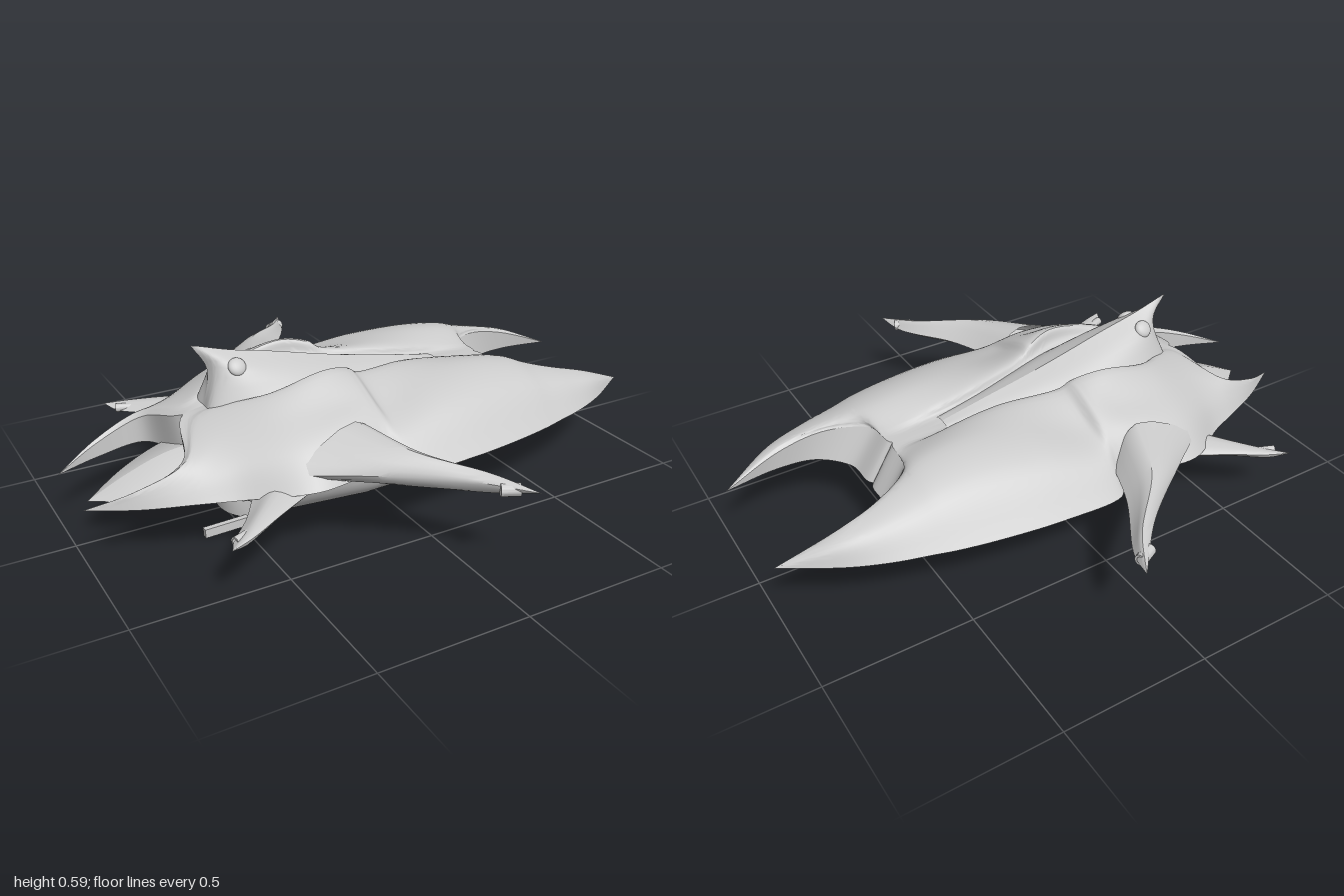
import * as THREE from 'three';
import { toCreasedNormals } from 'three/addons/utils/BufferGeometryUtils.js';

const material = new THREE.MeshStandardMaterial({ color: 0xcccccc, side: THREE.DoubleSide });
const V = (p) => new THREE.Vector3(...p);

// Grid surface from a rule fn(u, v) -> Vector3
function surface(name, nu, nv, fn, crease = 0.6) {
  const pos = [], index = [];
  for (let i = 0; i <= nu; i++) {
    for (let j = 0; j <= nv; j++) pos.push(...fn(i / nu, j / nv).toArray());
  }
  for (let i = 0; i < nu; i++) {
    for (let j = 0; j < nv; j++) {
      const a = i * (nv + 1) + j, b = a + nv + 1;
      index.push(a, b, a + 1, b, b + 1, a + 1);
    }
  }
  const g = new THREE.BufferGeometry();
  g.setAttribute('position', new THREE.Float32BufferAttribute(pos, 3));
  g.setIndex(index);
  const mesh = new THREE.Mesh(toCreasedNormals(g, crease), material);
  mesh.name = name;
  return mesh;
}

// Skin stretched over lengthwise guide curves; side = 1 or -1 mirrors in z
function loft(name, guides, side, { nu = 56, steps = 1, smooth = false, crease = 0.6 } = {}) {
  const curves = guides.map((g) => new THREE.CatmullRomCurve3(g.map(V)));
  const nv = (guides.length - 1) * steps;
  return surface(name, nu, nv, (u, v) => {
    const pts = curves.map((c) => c.getPoint(u));
    pts.forEach((p) => { p.z = Math.max(p.z, 0); });
    let p;
    if (smooth) p = new THREE.CatmullRomCurve3(pts).getPoint(v);
    else {
      const f = v * (pts.length - 1), k = Math.min(Math.floor(f + 1e-6), pts.length - 2);
      p = pts[k].clone().lerp(pts[k + 1], f - k);
    }
    p.z = Math.max(p.z, 0) * side;
    return p;
  }, crease);
}

const TAIL = [-1, 0.2, 0.13], PRONG = [1, 0.24, 0.21];

// Upper hull guides, from the centre line outward
const centre = [TAIL, [-0.85, 0.25, 0.19], [-0.7, 0.31, 0.185], [-0.62, 0.375, 0], [-0.38, 0.41, 0], [-0.2, 0.42, 0],
  [-0.1, 0.41, 0], [-0.06, 0.4, 0], [0.15, 0.39, 0], [0.35, 0.38, 0], [0.5, 0.372, 0], [0.52, 0.365, 0.12],
  [0.65, 0.345, 0.21], [0.8, 0.31, 0.23], PRONG];
const foot = [TAIL, [-0.85, 0.255, 0.195], [-0.7, 0.315, 0.2], [-0.6, 0.38, 0.03], [-0.38, 0.43, 0.125], [-0.2, 0.445, 0.135],
  [-0.1, 0.435, 0.11], [-0.06, 0.425, 0.1], [0.15, 0.405, 0.055], [0.35, 0.383, 0.045], [0.5, 0.373, 0.05], [0.53, 0.368, 0.14],
  [0.65, 0.35, 0.215], [0.8, 0.315, 0.235], PRONG];
const crest = [TAIL, [-0.85, 0.26, 0.2], [-0.7, 0.32, 0.21], [-0.59, 0.387, 0.06], [-0.38, 0.455, 0.15], [-0.2, 0.495, 0.155],
  [-0.1, 0.475, 0.13], [-0.06, 0.45, 0.12], [0.15, 0.43, 0.07], [0.35, 0.4, 0.06], [0.5, 0.38, 0.08], [0.54, 0.375, 0.155],
  [0.66, 0.355, 0.22], [0.8, 0.32, 0.24], PRONG];
const arc = [TAIL, [-0.85, 0.255, 0.205], [-0.7, 0.305, 0.23], [-0.58, 0.36, 0.19], [-0.38, 0.41, 0.26], [-0.2, 0.43, 0.265],
  [-0.1, 0.43, 0.265], [-0.06, 0.395, 0.27], [0.15, 0.425, 0.21], [0.35, 0.43, 0.18], [0.5, 0.41, 0.185], [0.57, 0.385, 0.21],
  [0.69, 0.35, 0.25], [0.82, 0.31, 0.27], PRONG];
const shoulder = [TAIL, [-0.85, 0.24, 0.21], [-0.7, 0.265, 0.26], [-0.58, 0.305, 0.28], [-0.38, 0.35, 0.37], [-0.2, 0.38, 0.36],
  [-0.1, 0.37, 0.36], [-0.06, 0.345, 0.39], [0.15, 0.375, 0.36], [0.35, 0.385, 0.33], [0.5, 0.37, 0.32], [0.57, 0.35, 0.32],
  [0.69, 0.325, 0.315], [0.82, 0.295, 0.295], PRONG];
const outer = [TAIL, [-0.85, 0.205, 0.22], [-0.7, 0.215, 0.29], [-0.58, 0.22, 0.34], [-0.38, 0.25, 0.46], [-0.2, 0.25, 0.44],
  [-0.1, 0.25, 0.45], [-0.06, 0.24, 0.485], [0.15, 0.24, 0.485], [0.35, 0.24, 0.46], [0.5, 0.24, 0.43], [0.57, 0.24, 0.41],
  [0.69, 0.24, 0.375], [0.82, 0.24, 0.32], PRONG];
const keel = [TAIL, [-0.85, 0.2, 0.19], [-0.7, 0.22, 0.185], [-0.6, 0.24, 0], [-0.38, 0.24, 0], [-0.2, 0.24, 0],
  [-0.1, 0.24, 0], [-0.06, 0.24, 0], [0.15, 0.24, 0], [0.35, 0.24, 0], [0.58, 0.24, 0], [0.6, 0.24, 0.12],
  [0.69, 0.24, 0.215], [0.82, 0.24, 0.235], PRONG];

// Broad spine canopy that sweeps up into the rear fin
const spine = [[-0.58, 0.6, 0], [-0.56, 0.595, 0], [-0.45, 0.562, 0], [-0.3, 0.528, 0], [-0.15, 0.49, 0], [0, 0.455, 0],
  [0.15, 0.425, 0], [0.32, 0.39, 0]];
const flank = [[-0.53, 0.51, 0], [-0.51, 0.525, 0.03], [-0.44, 0.51, 0.068], [-0.3, 0.485, 0.085], [-0.15, 0.46, 0.078],
  [0, 0.435, 0.06], [0.15, 0.412, 0.04], [0.32, 0.385, 0.03]];
const sill = [[-0.55, 0.38, 0], [-0.55, 0.39, 0.06], [-0.45, 0.415, 0.115], [-0.3, 0.425, 0.14], [-0.15, 0.425, 0.13],
  [0, 0.41, 0.1], [0.15, 0.395, 0.07], [0.32, 0.37, 0.05]];

// Wing guides: front edge, top, rear edge, underside, front edge again
const WTIP = [0.13, 0.3, 0.86];
const wingFront = [[-0.09, 0.3, 0.38], [-0.02, 0.295, 0.56], [0.1, 0.285, 0.76], WTIP];
const wing = [wingFront,
  [[-0.2, 0.4, 0.36], [-0.12, 0.365, 0.55], [0.05, 0.325, 0.73], WTIP],
  [[-0.42, 0.29, 0.4], [-0.24, 0.3, 0.53], [-0.03, 0.305, 0.69], WTIP],
  [[-0.24, 0.24, 0.38], [-0.12, 0.25, 0.55], [0.04, 0.265, 0.73], WTIP], wingFront];
const FTIP = [-0.71, 0.21, 0.57];
const finFront = [[-0.54, 0.21, 0.33], [-0.6, 0.205, 0.42], [-0.68, 0.2, 0.51], FTIP];
const rearFin = [finFront,
  [[-0.44, 0.26, 0.34], [-0.55, 0.24, 0.44], [-0.65, 0.22, 0.53], FTIP],
  [[-0.36, 0.23, 0.4], [-0.52, 0.225, 0.485], [-0.63, 0.215, 0.54], FTIP],
  [[-0.44, 0.19, 0.34], [-0.55, 0.19, 0.44], [-0.65, 0.19, 0.53], FTIP], finFront];

// Leaf-shaped tail
const LEAF = [-0.95, 0.155, 0];
const leaf = [
  [LEAF, [-0.82, 0.215, 0], [-0.68, 0.26, 0], [-0.5, 0.27, 0]],
  [LEAF, [-0.82, 0.2, 0.065], [-0.68, 0.235, 0.11], [-0.5, 0.25, 0.15]],
  [LEAF, [-0.82, 0.17, 0.105], [-0.67, 0.19, 0.16], [-0.5, 0.2, 0.22]],
  [LEAF, [-0.82, 0.165, 0], [-0.67, 0.175, 0], [-0.5, 0.17, 0]]];

// Belly fairing between hull edge and scoop
const belly = [
  [[-0.57, 0.21, 0.33], [-0.45, 0.235, 0.4], [-0.15, 0.24, 0.41], [0.2, 0.24, 0.4]],
  [[-0.57, 0.19, 0.2], [-0.45, 0.14, 0.26], [-0.15, 0.18, 0.32], [0.2, 0.238, 0.35]]];

// Lower scoop: u runs rear to front, t round the half pipe, k scales the section.
// Its lip sweeps forward along the prongs, narrowing with them.
function scoopPoint(u, t, k) {
  const a = Math.PI * (1 - Math.cos(Math.PI * t)) / 2, s = Math.sin(a) ** 0.65;
  const y = 0.24 - s * (0.225 - 0.035 * u);
  const rear = Math.max(-0.57, -0.45 - 12 * (y - 0.09) ** 2);
  const rise = Math.max(0, (y - 0.05) / 0.15);
  const front = rise < 1 ? 0.17 + 0.23 * rise ** 1.3 : 0.4 + (y - 0.2) * 12;
  const x = rear + (front - rear) * u;
  const width = x > 0.7 ? 0.35 - 0.47 * (x - 0.7) : 0.35 * (0.78 + 0.22 * Math.min(1, u * 2));
  return new THREE.Vector3(x, 0.24 - (0.24 - y) * k, width * Math.cos(a) * k);
}

// Intake bowl: ceiling that curves down into a wall behind the lip
function bowlPoint(u, t) {
  const a = Math.PI * t, f = u * Math.PI / 2;
  const depth = 0.185 * Math.sin(a) ** 0.65;
  return new THREE.Vector3(0.5 - 0.42 * Math.sin(f), 0.238 - depth * (1 - Math.cos(f)), 0.305 * Math.cos(a));
}

function barrel(name, x, y, z, dir, r, length) {
  const profile = [[0, 0], [r, 0], [r, length], [r * 0.65, length], [r * 0.6, length * 0.6], [0, length * 0.6]];
  const g = new THREE.LatheGeometry(profile.map((p) => new THREE.Vector2(...p)), 20);
  const mesh = new THREE.Mesh(toCreasedNormals(g, 0.6), material);
  mesh.name = name;
  mesh.position.set(x, y, z);
  mesh.quaternion.setFromUnitVectors(new THREE.Vector3(0, 1, 0), V(dir).normalize());
  return mesh;
}

export function createModel() {
  const model = new THREE.Group();
  model.name = 'spacecraft';

  for (const side of [1, -1]) {
    const half = new THREE.Group();
    half.name = side > 0 ? 'leftHalf' : 'rightHalf';
    half.add(
      loft('upperHull', [centre, foot, crest, arc, shoulder, outer], side, { nu: 112, steps: 6, smooth: true }),
      loft('hullUnderside', [outer, keel, centre], side, { nu: 112 }),
      loft('spineFin', [spine, flank, sill], side, { steps: 4, smooth: true }),
      loft('wing', wing, side, { nu: 28, steps: 4, smooth: true }),
      loft('rearFin', rearFin, side, { nu: 20, steps: 4, smooth: true }),
      loft('tailLeaf', leaf, side, { nu: 28, crease: 0.8 }),
      loft('bellyFairing', belly, side, { nu: 28 }),
      barrel('wingGun', 0.05, 0.29, 0.77 * side, [1, 0, 0.5 * side], 0.02, 0.06),
      barrel('rearFinGun', -0.63, 0.205, 0.5 * side, [-1, 0, 0.4 * side], 0.015, 0.055),
    );

    // Sensor disc set into the flank of the fin
    const bump = new THREE.Mesh(new THREE.SphereGeometry(0.03, 20, 14), material);
    bump.name = 'finSensor';
    bump.scale.z = 0.5;
    bump.position.set(-0.45, 0.522, 0.052 * side);
    bump.rotation.x = -0.7 * side;
    half.add(bump);

    // Skid rod under the rear of the scoop
    const skid = new THREE.Mesh(new THREE.BoxGeometry(0.2, 0.03, 0.02), material);
    skid.name = 'rearSkid';
    skid.position.set(-0.53, 0.027, 0.15 * side);
    skid.rotation.z = 0.03;
    half.add(skid);
    model.add(half);
  }

  // Scoop skin, lip, rear wall and intake
  model.add(
    surface('scoopSkin', 32, 64, (u, t) => scoopPoint(u, t, 1)),
    surface('scoopLining', 32, 64, (u, t) => scoopPoint(0.5 + u / 2, t, 0.87)),
    surface('scoopLip', 1, 64, (v, t) => scoopPoint(1, t, 0.87 + 0.13 * v)),
    surface('scoopRearWall', 8, 64, (v, t) => scoopPoint(0, t, v)),
    surface('intakeBowl', 20, 48, bowlPoint),
  );
  return model;
}
